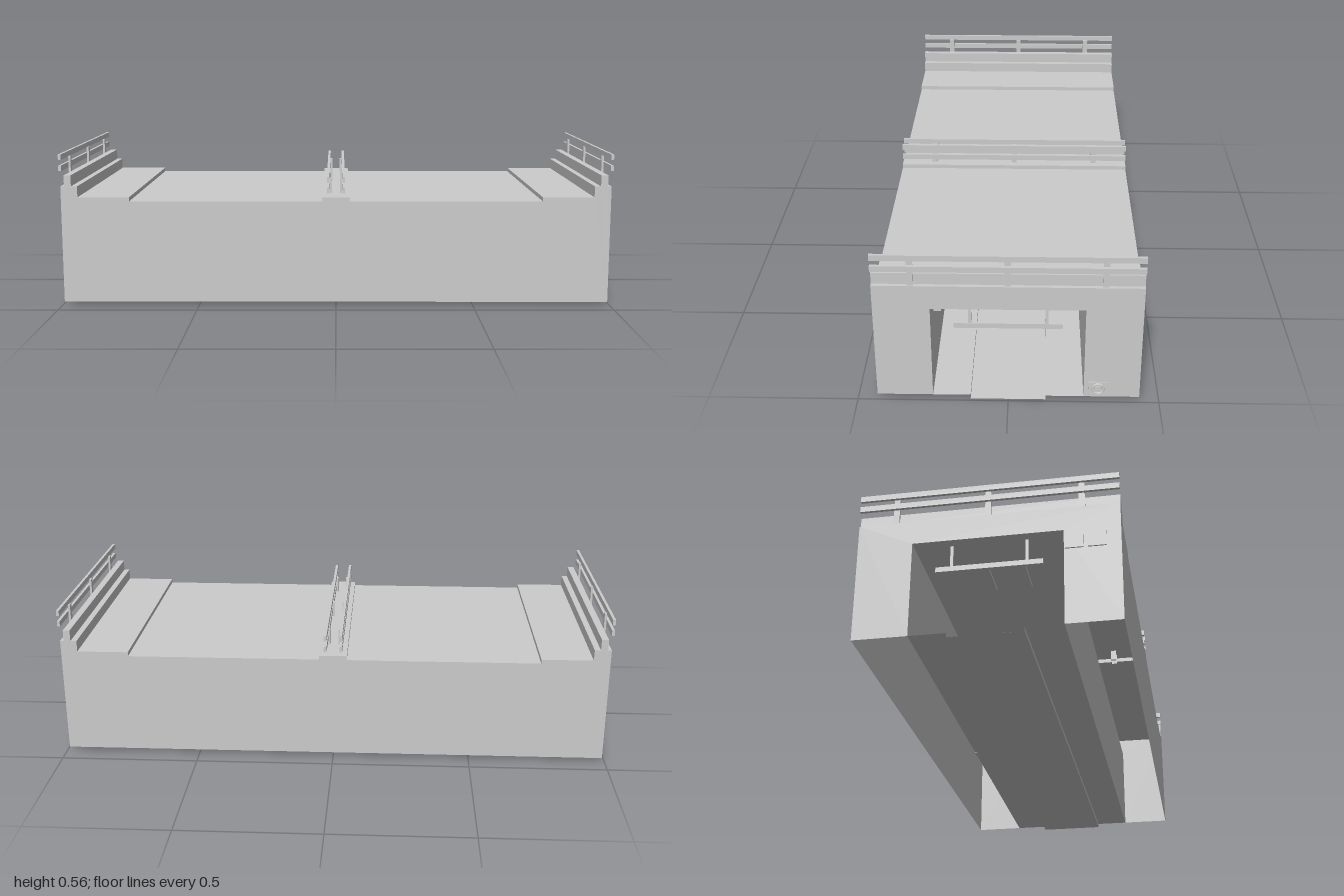
import * as THREE from 'three';

const solid = new THREE.MeshStandardMaterial({ color: 0xcccccc, flatShading: true });
const sheet = new THREE.MeshStandardMaterial({ color: 0xcccccc, flatShading: true, side: THREE.DoubleSide });

const END = 0.99, HALF = 0.435, OPEN = 0.25, CEIL = 0.355, BASE = 0.015;

function add(parent, name, geometry, material = solid) {
  const mesh = new THREE.Mesh(geometry, material);
  mesh.name = name;
  parent.add(mesh);
  return mesh;
}

// Box given by its lower and upper limits on each axis
function box(parent, name, [x0, x1], [y0, y1], [z0, z1]) {
  const mesh = add(parent, name, new THREE.BoxGeometry(Math.abs(x1 - x0), y1 - y0, Math.abs(z1 - z0)));
  mesh.position.set((x0 + x1) / 2, (y0 + y1) / 2, (z0 + z1) / 2);
  return mesh;
}

// Open sheet swept between two cross-sections; at(p, end) places a profile point
function sweep(points, at) {
  const pos = [];
  for (let i = 0; i < points.length - 1; i++) {
    const a = at(points[i], 0), b = at(points[i + 1], 0);
    const c = at(points[i + 1], 1), d = at(points[i], 1);
    pos.push(...a, ...d, ...c, ...a, ...c, ...b);
  }
  const geometry = new THREE.BufferGeometry();
  geometry.setAttribute('position', new THREE.Float32BufferAttribute(pos, 3));
  geometry.computeVertexNormals();
  return geometry;
}

function shapeOf(points) {
  return new THREE.Shape(points.map(([x, y]) => new THREE.Vector2(x, y)));
}

// Two rails on three posts, facing outwards on the given side
function guardRail(side, x, y) {
  const rail = new THREE.Group();
  rail.name = 'guardRail';
  for (const z of [-0.31, 0, 0.31]) {
    box(rail, 'railPost', [side * (x - 0.008), side * x], [y, y + 0.097], [z - 0.01, z + 0.01]);
  }
  for (const h of [0.055, 0.095]) {
    box(rail, 'railBar', [side * x, side * (x + 0.01)], [y + h, y + h + 0.02], [-HALF, HALF]);
  }
  return rail;
}

export function createModel() {
  const model = new THREE.Group();
  model.name = 'underpass';

  // Deck: road, pavements, median and stepped parapets
  const half = [[0.05, 0.4], [0.05, 0.385], [0.745, 0.385], [0.745, 0.4], [0.93, 0.4], [0.93, 0.44],
    [0.952, 0.44], [0.952, 0.48], [0.977, 0.48], [0.977, 0.44], [END, 0.44]];
  const profile = [...half.map(([x, y]) => [-x, y]).reverse(), ...half];
  add(model, 'deck', sweep(profile, ([x, y], e) => [x, y, e ? HALF : -HALF]), sheet);

  // Outer side walls follow the deck profile
  const sideShape = shapeOf([[-END, BASE], ...profile, [END, BASE]]);
  for (const s of [-1, 1]) {
    const wall = add(model, 'sideWall', new THREE.ShapeGeometry(sideShape), sheet);
    wall.position.z = s * HALF;
    if (s < 0) wall.rotation.y = Math.PI;
  }

  // Portal faces
  const portal = shapeOf([[-HALF, BASE], [-OPEN, BASE], [-OPEN, CEIL], [OPEN, CEIL], [OPEN, BASE],
    [HALF, BASE], [HALF, 0.44], [-HALF, 0.44]]);
  for (const s of [-1, 1]) {
    const face = add(model, 'portalFace', new THREE.ShapeGeometry(portal), sheet);
    face.rotation.y = s * Math.PI / 2;
    face.position.x = s * END;
  }

  // Tunnel lining in four sections, and the floor with raised walkways
  const lining = [[-OPEN, BASE], [-OPEN, CEIL], [OPEN, CEIL], [OPEN, BASE]];
  const floor = [[OPEN, BASE], [0.125, BASE], [0.125, 0], [-0.125, 0], [-0.125, BASE], [-OPEN, BASE]];
  for (let i = 0; i < 4; i++) {
    const x0 = -END + i * END / 2;
    add(model, 'tunnelLining', sweep(lining, ([z, y], e) => [x0 + e * END / 2, y, z]), sheet);
  }
  add(model, 'tunnelFloor', sweep(floor, ([z, y], e) => [e ? END : -END, y, z]), sheet);

  // Railings on the parapets and along the median
  for (const s of [-1, 1]) {
    model.add(guardRail(s, 0.985, 0.44));
    model.add(guardRail(s, 0.023, 0.36));
  }

  // Height bars hung inside both portals
  for (const s of [-1, 1]) {
    const x = s * 0.95;
    box(model, 'heightBar', [x - 0.006, x + 0.006], [0.26, 0.278], [-0.178, 0.178]);
    for (const z of [-0.125, 0.125]) {
      box(model, 'barHanger', [x - 0.004, x + 0.004], [0.278, CEIL], [z - 0.005, z + 0.005]);
    }
  }

  // Two rows of ceiling lamps
  for (let i = 0; i < 4; i++) {
    const x = -0.7425 + i * 0.495;
    for (const z of [-0.0625, 0.0625]) {
      box(model, 'ceilingLamp', [x - 0.08, x + 0.08], [0.343, CEIL], [z - 0.031, z + 0.031]);
    }
  }

  // Slope-topped wall cabinet and flat wall panels
  const cabinet = new THREE.ExtrudeGeometry(
    shapeOf([[-OPEN, 0.273], [-0.225, 0.273], [-0.225, 0.338], [-OPEN, 0.345]]),
    { depth: 0.04, bevelEnabled: false });
  const cabinetMesh = add(model, 'wallCabinet', cabinet);
  cabinetMesh.rotation.y = Math.PI / 2;
  cabinetMesh.position.x = 0.84;
  box(model, 'wallPanel', [-0.03, 0.03], [0.285, 0.337], [-OPEN, -0.243]);
  box(model, 'wallPanel', [0.01, 0.06], [0.013, 0.062], [-OPEN - 0.001, -0.243]);

  // Plates on the portal faces; the low one carries a round lamp
  box(model, 'portalPlate', [END, 0.994], [0.027, 0.075], [-0.328, -0.265]);
  const ring = add(model, 'lampRing', new THREE.TorusGeometry(0.019, 0.003, 6, 20));
  ring.rotation.y = Math.PI / 2;
  ring.position.set(0.995, 0.05, -0.297);
  const lamp = add(model, 'lampLens', new THREE.CylinderGeometry(0.011, 0.011, 0.004, 16));
  lamp.rotation.z = Math.PI / 2;
  lamp.position.set(0.996, 0.05, -0.297);
  for (const z of [0.283, 0.357]) {
    box(model, 'portalPlate', [-END, -0.995], [0.285, 0.34], [z - 0.03, z + 0.03]);
  }

  return model;
}
